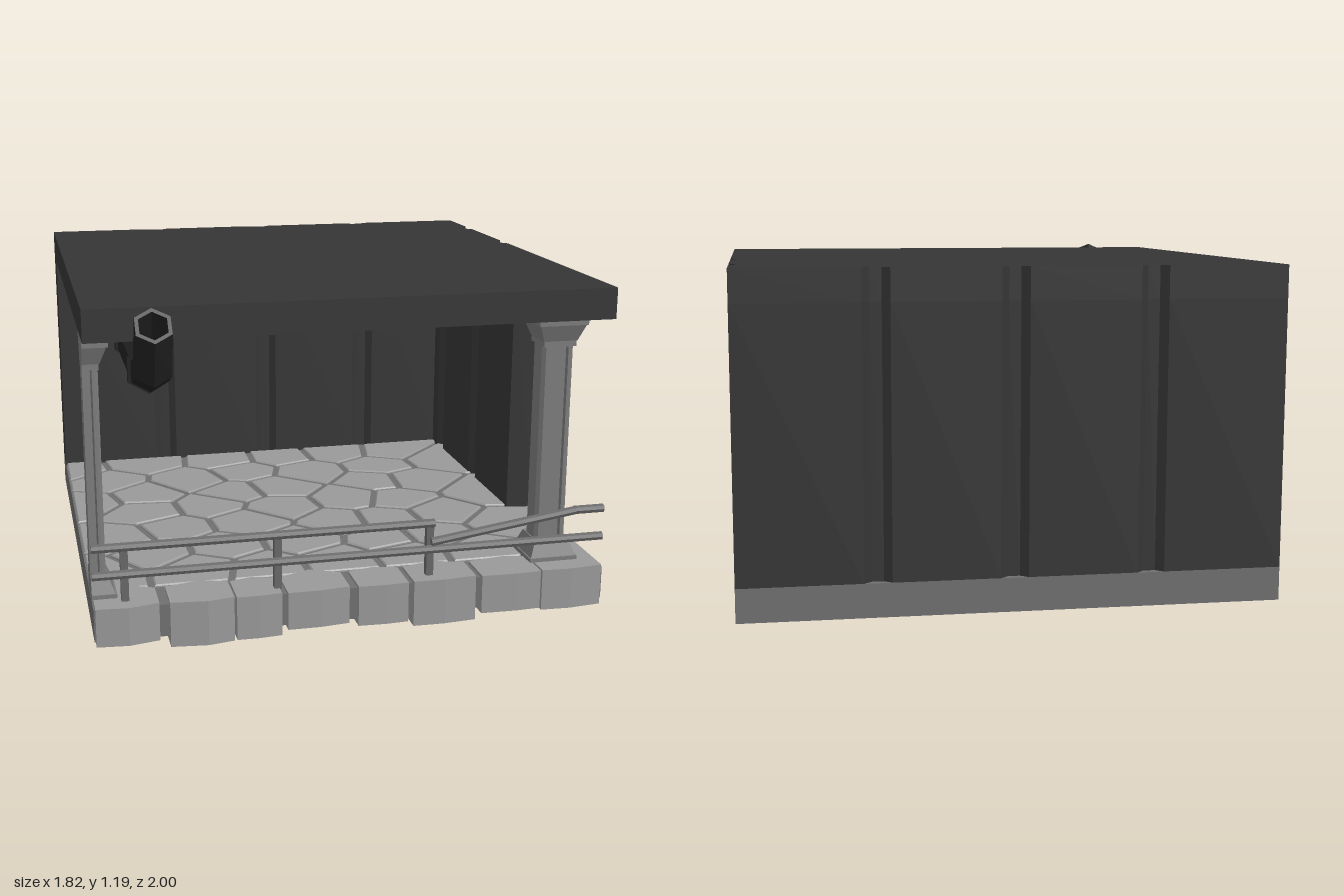
import * as THREE from 'three';

const mat = (name, color, extra = {}) =>
  Object.assign(new THREE.MeshStandardMaterial({ color, flatShading: true, ...extra }), { name });

export function createModel() {
  const model = new THREE.Group();
  model.name = 'stoneShelter';
  const wallMat = mat('charcoal panel', 0x353535);
  const pipeMat = mat('black iron', 0x202020, { side: THREE.DoubleSide });
  const slabMat = mat('mortar grey', 0x707070);
  const stoneMat = mat('light stone', 0x999999);
  const pillarMat = mat('pillar grey', 0x7c7c7c);
  const railMat = mat('rail grey', 0x686868);

  let seed = 11;
  const rnd = () => (seed = (seed * 16807) % 2147483647) / 2147483647;

  function add(name, geometry, material, x = 0, y = 0, z = 0, parent = model) {
    const mesh = new THREE.Mesh(geometry, material);
    mesh.name = name;
    mesh.position.set(x, y, z);
    parent.add(mesh);
    return mesh;
  }
  function group(name) {
    const g = new THREE.Group();
    g.name = name;
    model.add(g);
    return g;
  }
  const box = (w, h, d) => new THREE.BoxGeometry(w, h, d);

  // Extrude a floor plan of [x, z] points upward from y0 to y1
  function plan(points, y0, y1, bevel = 0) {
    const shape = new THREE.Shape(points.map(([x, z]) => new THREE.Vector2(x, -z)));
    const g = new THREE.ExtrudeGeometry(shape, {
      depth: y1 - y0 - bevel, bevelEnabled: bevel > 0, bevelSegments: 1,
      bevelSize: bevel, bevelThickness: bevel, bevelOffset: -bevel,
    });
    return g.rotateX(-Math.PI / 2).translate(0, y0, 0);
  }

  // Straight plan edge with trapezoid grooves at distances along it
  function grooved([x, z], dx, dz, distances) {
    const pts = [[x, z]];
    for (const s of distances)
      for (const [o, depth] of [[-0.046, 0], [-0.02, 0.022], [0.02, 0.022], [0.046, 0]])
        pts.push([x + dx * (s + o) + dz * depth, z + dz * (s + o) - dx * depth]);
    return pts;
  }

  // Base slab
  add('baseSlab', box(1.82, 0.115, 1.82), slabMat, 0, 0.0975, -0.09);

  // L-shaped wall, grooved on both faces, and the roof that shares the outer grooves
  const backEdge = grooved([0.91, -1], -1, 0, [0.46, 0.91, 1.37]);
  add('walls', plan([
    ...grooved([0.91, 0.14], 0, -1, [0.43, 0.87]),
    ...backEdge,
    [-0.91, -1],
    ...grooved([-0.91, -0.84], 1, 0, [0.45, 0.91, 1.36]),
    ...grooved([0.8, -0.84], 0, 1, [0.11, 0.55]),
    [0.8, 0.14],
  ], 0.155, 1.065), wallMat);
  add('roof', plan([
    ...grooved([0.91, 0.82], 0, -1, [1.11, 1.55]),
    ...backEdge,
    [-0.91, -1], [-0.91, 0.82],
  ], 1.065, 1.175), wallMat);

  // Flagstones: inset cells around jittered sites
  const floor = group('flagstoneFloor');
  const sites = [];
  for (let r = 0; r < 7; r++)
    for (let c = 0; c < 6; c++)
      sites.push([
        -0.91 + (c + 0.5 + (r % 2 ? 0.22 : -0.22) + (rnd() - 0.5) * 0.5) * 0.285,
        -0.84 + (r + 0.5 + (rnd() - 0.5) * 0.5) * 0.215,
      ]);
  function clip(poly, nx, nz, d) {
    const out = [];
    poly.forEach((p, i) => {
      const q = poly[(i + 1) % poly.length];
      const a = nx * p[0] + nz * p[1] - d, b = nx * q[0] + nz * q[1] - d;
      if (a <= 0) out.push(p);
      if (a * b < 0) {
        const t = a / (a - b);
        out.push([p[0] + (q[0] - p[0]) * t, p[1] + (q[1] - p[1]) * t]);
      }
    });
    return out;
  }
  for (const s of sites) {
    let cell = [[-0.905, -0.84], [0.895, -0.84], [0.895, 0.665], [-0.905, 0.665]];
    for (const o of sites) {
      if (o === s) continue;
      const len = Math.hypot(o[0] - s[0], o[1] - s[1]);
      const nx = (o[0] - s[0]) / len, nz = (o[1] - s[1]) / len;
      cell = clip(cell, nx, nz, (nx * (o[0] + s[0]) + nz * (o[1] + s[1])) / 2 - 0.012);
    }
    if (cell.length > 2) add('flagstone', plan(cell, 0.15, 0.165, 0.005), stoneMat, 0, 0, 0, floor);
  }

  // Rough front edge blocks: [x start, x end, bottom]
  const edge = group('frontEdgeStones');
  for (const [a, b, y] of [
    [-0.905, -0.69, 0.03], [-0.655, -0.435, 0.005], [-0.428, -0.27, 0.01], [-0.25, -0.03, 0.03],
    [0, 0.18, 0.02], [0.2, 0.43, 0], [0.45, 0.67, 0.025], [0.677, 0.905, 0.015],
  ]) {
    const mid = a + (b - a) * (0.35 + rnd() * 0.3);
    add('edgeStone', plan([
      [a, 0.69], [mid, 0.68 - rnd() * 0.04], [b, b > 0.9 ? 0.58 : 0.69],
      [b, 0.825 + rnd() * 0.015], [mid, 0.838 + rnd() * 0.012], [a, 0.825 + rnd() * 0.015],
    ], y, 0.166), stoneMat, 0, 0, 0, edge);
  }

  // Pillars; the left one is cut flush with the edge of the building
  function pillar(cx, name) {
    const g = group(name), z = 0.665;
    const place = (part, geo) => {
      geo.translate(cx, 0, z);
      const p = geo.attributes.position;
      for (let i = 0; i < p.count; i++) p.setX(i, Math.max(p.getX(i), -0.909));
      geo.computeVertexNormals();
      add(part, geo, pillarMat, 0, 0, 0, g);
    };
    const tapered = (top, bottom, y0, y1) =>
      new THREE.CylinderGeometry(top * Math.SQRT2, bottom * Math.SQRT2, y1 - y0, 4)
        .rotateY(Math.PI / 4).translate(0, (y0 + y1) / 2, 0);
    const quarter = [[0.032, 0.037], [0.037, 0.046], [0.046, 0.046], [0.058, 0.034]];
    const half = [...quarter, ...quarter.map(([x, d]) => [x, -d]).reverse()];
    place('shaft', plan([...half, ...half.map(([x, d]) => [-x, -d])], 0.23, 0.985));
    place('foot', tapered(0.062, 0.085, 0.18, 0.24));
    place('footPlate', tapered(0.09, 0.09, 0.155, 0.18));
    place('collar', tapered(0.06, 0.06, 0.955, 0.975));
    place('capital', tapered(0.085, 0.062, 0.975, 1.035));
    place('capitalPlate', tapered(0.09, 0.09, 1.035, 1.065));
  }
  pillar(0.75, 'rightPillar');
  pillar(-0.914, 'leftPillar');

  // Railing: straight rails, posts and one bent, broken upper rail
  const railing = group('railing');
  function rail(name, x0, y0, x1, y1) {
    const geo = new THREE.CylinderGeometry(0.016, 0.016, Math.hypot(x1 - x0, y1 - y0), 8);
    add(name, geo, railMat, (x0 + x1) / 2, (y0 + y1) / 2, 0.8, railing)
      .rotation.z = Math.atan2(y1 - y0, x1 - x0) - Math.PI / 2;
  }
  rail('lowerRail', -0.91, 0.268, 0.91, 0.268);
  rail('upperRail', -0.91, 0.365, 0.28, 0.365);
  rail('bentRail', 0.27, 0.295, 0.81, 0.373);
  rail('bentRailEnd', 0.8, 0.373, 0.91, 0.373);
  for (const x of [-0.8, -0.275, 0.27])
    add('railPost', box(0.026, 0.205, 0.026), railMat, x, 0.265, 0.777, railing);

  // Six-sided pipe swept through [point, tangent, radius] rings
  const pipe = group('drainPipe');
  function sweep(name, rings, material) {
    const pos = [], index = [];
    rings.forEach(([p, dir, r], i) => {
      const t = new THREE.Vector3(...dir).normalize();
      const up = new THREE.Vector3(0, 1, 0).addScaledVector(t, -t.y).normalize();
      const side = t.clone().cross(up);
      for (let j = 0; j < 6; j++) {
        const a = j * Math.PI / 3;
        pos.push(...new THREE.Vector3(...p)
          .addScaledVector(up, r * Math.cos(a)).addScaledVector(side, r * Math.sin(a)).toArray());
        if (!i) continue;
        const k = (j + 1) % 6, m = (i - 1) * 6, n = i * 6;
        index.push(m + j, m + k, n + j, m + k, n + k, n + j);
      }
    });
    const g = new THREE.BufferGeometry();
    g.setAttribute('position', new THREE.Float32BufferAttribute(pos, 3));
    g.setIndex(index);
    const flat = g.toNonIndexed();
    flat.computeVertexNormals();
    add(name, flat, material, 0, 0, 0, pipe);
  }
  const R = 0.069, Y = 0.963, X = -0.697, Z = -0.45;
  sweep('pipeRun', [
    [[0.29, Y, -0.85], [0, 0, 1], R],
    [[0.29, Y, Z - 0.06], [-0.4, 0, 1], R],
    [[0.23, Y, Z], [-1, 0, 0.4], R],
    [[X + 0.07, Y, Z], [-1, 0, 0.4], R],
    [[X, Y, Z + 0.07], [-0.4, 0, 1], R],
    [[X, Y, 0.81], [0, 0.15, 1], R],
    [[X, 0.995, 0.898], [0, 0.75, 1], R],
    [[X, 1.14, 0.952], [0, 0.75, 0.8], 0.066],
    [[X, 1.14, 0.952], [0, 0.75, 0.8], 0.052],
    [[X, 1.02, 0.9], [0, 0.75, 1], 0.05],
    [[X, 0.97, 0.83], [0, 0.2, 1], 0.05],
    [[X, 0.965, 0.78], [0, 0, 1], 0.001],
  ], pipeMat);
  sweep('pipeElbowSleeve', [
    [[0.29, Y - 0.01, Z - 0.16], [0, 0, 1], 0.08],
    [[0.29, Y - 0.01, Z - 0.05], [-0.4, 0, 1], 0.08],
    [[0.23, Y - 0.01, Z + 0.005], [-1, 0, 0.2], 0.08],
  ], wallMat);

  // Pipe collars and roof hangers
  function band(name, radius, width, x, z, alongX) {
    const geo = new THREE.CylinderGeometry(radius, radius, width, 6).rotateX(Math.PI / 2);
    add(name, alongX ? geo.rotateY(Math.PI / 2) : geo, pipeMat, x, Y, z, pipe);
  }
  for (const [x, z, alongX] of [[-0.49, Z, true], [0.08, Z, true], [X, 0.29, false]])
    band('pipeCollar', 0.078, 0.04, x, z, alongX);
  for (const [x, z, alongX] of [[-0.56, Z, true], [0.15, Z, true], [X, 0.778, false]]) {
    band('hangerBand', 0.081, 0.02, x, z, alongX);
    add('hangerRod', box(0.02, 0.1, 0.02), pipeMat, x, 1.02, z, pipe);
  }
  return model;
}
